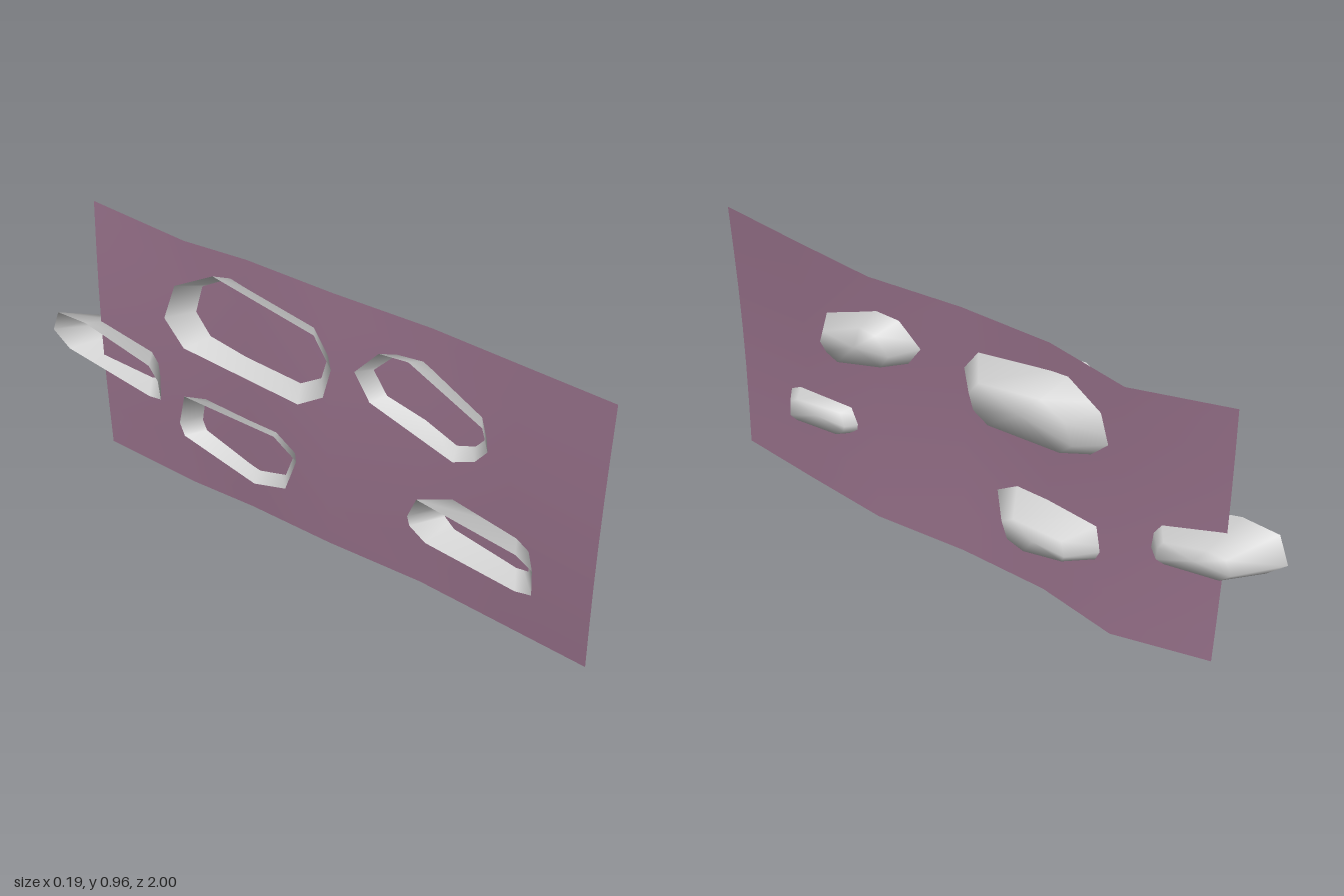
import * as THREE from 'three';

const grey = new THREE.MeshStandardMaterial({ color: 0xcccccc, side: THREE.DoubleSide });
const plum = new THREE.MeshStandardMaterial({ color: 0x967089, side: THREE.DoubleSide });

function mesh(name, positions, index, material) {
  const g = new THREE.BufferGeometry();
  g.setAttribute('position', new THREE.Float32BufferAttribute(positions, 3));
  g.setIndex(index);
  g.computeVertexNormals();
  const m = new THREE.Mesh(g, material);
  m.name = name;
  return m;
}

// Wavy backing sheet: each station is [z, x, top y]
function backingSheet() {
  const stations = [
    [1, -0.017, 0.965], [0.7, 0.005, 0.955], [0.4, 0.025, 0.947], [0.07, 0.002, 0.953],
    [-0.24, 0.002, 0.952], [-0.5, 0.02, 0.92], [-0.83, -0.017, 0.965],
  ];
  const rows = 6, height = 0.915, pos = [], idx = [];
  stations.forEach(([z, x, top], i) => {
    for (let j = 0; j <= rows; j++) {
      const v = j / rows;
      pos.push(x - 0.012 * Math.sin(Math.PI * v), top - height * (1 - v), z);
      if (i > 0 && j > 0) {
        const a = i * (rows + 1) + j, b = a - rows - 1;
        idx.push(b - 1, a - 1, a, b - 1, a, b);
      }
    }
  });
  return mesh('backingSheet', pos, idx, plum);
}

// Hollow faceted stone: outline of [z, y] points, tapering from an open back rim to a capped face
function stone(name, { outline, back, face, backScale, faceScale, tilt = 0 }) {
  const zs = outline.map((p) => p[0]), ys = outline.map((p) => p[1]);
  const cz = (Math.min(...zs) + Math.max(...zs)) / 2;
  const cy = (Math.min(...ys) + Math.max(...ys)) / 2;
  const n = outline.length, pos = [], idx = [];
  for (const [x, s] of [[back, backScale], [face, faceScale]]) {
    for (const [z, y] of outline) {
      const dy = (y - cy) * s;
      pos.push(x + tilt * dy, cy + dy, cz + (z - cz) * s);
    }
  }
  pos.push(face, cy, cz);
  for (let i = 0; i < n; i++) {
    const j = (i + 1) % n;
    idx.push(i, j, n + j, i, n + j, n + i); // wall
    idx.push(n + i, n + j, 2 * n); // cap
  }
  return mesh(name, pos, idx, grey);
}

export function createModel() {
  const group = new THREE.Group();
  group.name = 'stoneWallPanel';
  group.add(backingSheet());

  // Outlines run clockwise seen from +x
  group.add(stone('largeUpperStone', {
    outline: [[0.065, 0.74], [0.01, 0.815], [-0.305, 0.865], [-0.43, 0.795],
      [-0.465, 0.69], [-0.4, 0.625], [-0.03, 0.605], [0.045, 0.655]].reverse(),
    back: -0.062, face: 0.088, backScale: 1.2, faceScale: 0.68, tilt: 0.06,
  }));
  group.add(stone('upperStone', {
    outline: [[0.62, 0.675], [0.6, 0.74], [0.375, 0.845], [0.285, 0.835],
      [0.21, 0.75], [0.26, 0.675], [0.52, 0.6], [0.585, 0.63]].reverse(),
    back: -0.043, face: 0.087, backScale: 1.11, faceScale: 0.66,
  }));
  group.add(stone('lowerStone', {
    outline: [[-0.065, 0.335], [-0.135, 0.38], [-0.425, 0.38], [-0.445, 0.29],
      [-0.43, 0.255], [-0.2, 0.205], [-0.1, 0.235]].reverse(),
    back: -0.05, face: 0.088, backScale: 1.24, faceScale: 0.6,
  }));
  group.add(stone('smallLowerStone', {
    outline: [[0.78, 0.365], [0.78, 0.295], [0.74, 0.285], [0.515, 0.305],
      [0.475, 0.335], [0.47, 0.36], [0.495, 0.42], [0.74, 0.39]],
    back: -0.083, face: 0.045, backScale: 1.36, faceScale: 0.74, tilt: -0.1,
  }));
  group.add(stone('overhangingStone', {
    outline: [[-0.55, 0.44], [-0.55, 0.365], [-0.6, 0.357], [-0.94, 0.41],
      [-1, 0.465], [-0.96, 0.55], [-0.84, 0.555], [-0.58, 0.49]],
    back: -0.08, face: 0.05, backScale: 1, faceScale: 0.52, tilt: -0.12,
  }));
  return group;
}
